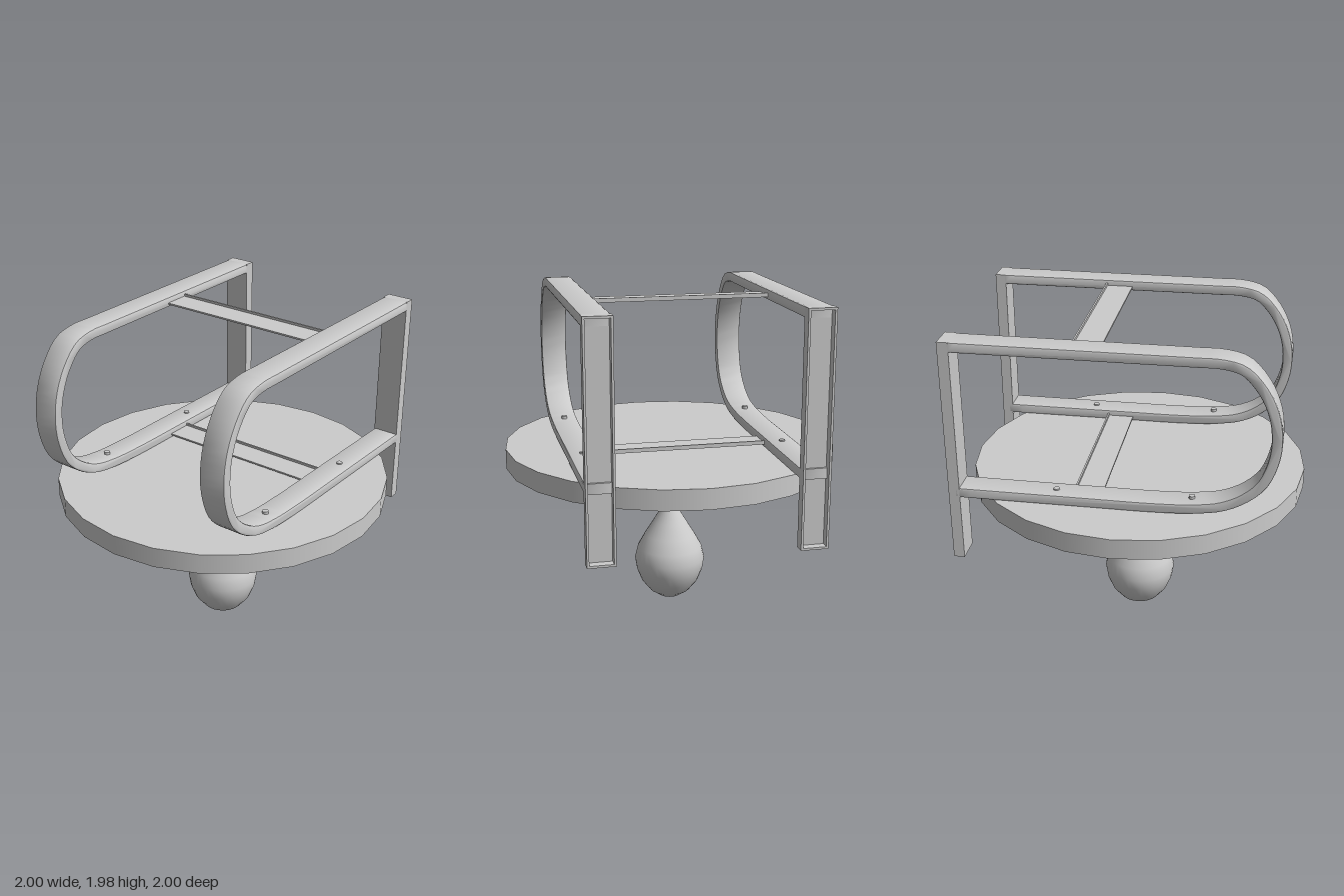
import * as THREE from 'three';
import { toCreasedNormals, mergeVertices } from 'three/addons/utils/BufferGeometryUtils.js';

const grey = new THREE.MeshStandardMaterial({ color: 0xcccccc });
const V2 = (p) => new THREE.Vector2(p[0], p[1]);

function add(parent, name, geometry, x = 0, y = 0, z = 0) {
  const mesh = new THREE.Mesh(geometry, grey);
  mesh.name = name;
  mesh.position.set(x, y, z);
  parent.add(mesh);
  return mesh;
}

const RAIL_X = 0.595, RAIL_W = 0.16, RAIL_T = 0.06;

// Bent rail: a band of even thickness following the outer (z, y) line, extruded along x
function railGeometry() {
  const outer = [
    [-0.95, 1.98], [0, 1.98], [0.4, 1.98], [0.55, 1.978], [0.674, 1.944], [0.78, 1.835],
    [0.848, 1.7], [0.876, 1.56], [0.868, 1.41], [0.807, 1.245], [0.7, 1.14],
    [0.567, 1.075], [0.406, 1.047], [0.19, 1.036], [-0.2, 1.035], [-0.965, 1.035],
  ];
  const curve = new THREE.CatmullRomCurve3(outer.map(([z, y]) => new THREE.Vector3(z, y, 0)), false, 'centripetal');
  const n = 90, out = [], inn = [];
  for (let i = 0; i <= n; i++) {
    const p = curve.getPointAt(i / n), t = curve.getTangentAt(i / n);
    out.push(new THREE.Vector2(p.x, p.y));
    inn.push(new THREE.Vector2(p.x + t.y * RAIL_T, p.y - t.x * RAIL_T));
  }
  const bevel = 0.01;
  const geo = new THREE.ExtrudeGeometry(new THREE.Shape([...out, ...inn.reverse()]), {
    depth: RAIL_W - 2 * bevel, bevelThickness: bevel, bevelSize: bevel, bevelOffset: -bevel, bevelSegments: 2,
  });
  geo.translate(0, 0, -RAIL_W / 2 + bevel);
  geo.rotateY(-Math.PI / 2);
  return toCreasedNormals(geo, 0.6);
}

// Wall post: shallow tray, open to the back
function addPost(parent) {
  const post = new THREE.Group();
  post.name = 'wallPost';
  const y0 = 0.637, y1 = 1.98, w = RAIL_W / 2, t = 0.013;
  const rect = (Type, x, a, b) => new Type([[-x, a], [x, a], [x, b], [-x, b]].map(V2));
  const rim = rect(THREE.Shape, w, y0, y1);
  rim.holes.push(rect(THREE.Path, w - t, y0 + t, y1 - t));
  add(post, 'postRim', new THREE.ExtrudeGeometry(rim, { depth: 0.05, bevelEnabled: false }), 0, 0, -1);
  add(post, 'postWeb', new THREE.BoxGeometry(RAIL_W, y1 - y0, 0.014), 0, (y0 + y1) / 2, -0.943);
  parent.add(post);
}

// Swivel housing: turned cup whose upper rim is drawn out into four mounting ears
function swivelGeometry() {
  const profile = [[0, 0.79], [0.06, 0.79], [0.075, 0.8], [0.09, 0.835], [0.102, 0.87],
    [0.108, 0.888], [0.112, 0.9], [0.112, 0.915], [0, 0.915]];
  const ears = [0, 0, 0, 0, 0.012, 0.05, 0.08, 0.08, 0];
  const geo = new THREE.LatheGeometry(profile.map(V2), 64);
  const pos = geo.attributes.position;
  for (let i = 0; i < pos.count; i++) {
    const a = Math.atan2(pos.getZ(i), pos.getX(i));
    const r = Math.hypot(pos.getX(i), pos.getZ(i));
    const grown = r + ears[i % profile.length] * Math.sin(2 * a) ** 6;
    pos.setX(i, Math.cos(a) * grown);
    pos.setZ(i, Math.sin(a) * grown);
  }
  geo.deleteAttribute('uv');
  geo.deleteAttribute('normal');
  return toCreasedNormals(mergeVertices(geo), 0.7);
}

export function createModel() {
  const model = new THREE.Group();
  model.name = 'speedBagPlatform';

  // Round board
  add(model, 'platform', new THREE.CylinderGeometry(1, 1, 0.12, 24), 0, 0.975, 0);

  // Mirrored side frames with their bolts
  const rail = railGeometry();
  for (const side of [1, -1]) {
    const frame = new THREE.Group();
    frame.name = side > 0 ? 'leftFrame' : 'rightFrame';
    frame.position.x = side * RAIL_X;
    add(frame, 'rail', rail);
    addPost(frame);
    for (const [z, top] of [[0.39, 1.122], [-0.385, 1.103]]) {
      add(frame, 'boltHead', new THREE.CylinderGeometry(0.018, 0.018, 0.02, 12), 0, top - 0.01, z);
      add(frame, 'boltShank', new THREE.CylinderGeometry(0.01, 0.01, top - 0.92, 10), 0, (top + 0.92) / 2 - 0.005, z);
      add(frame, 'boltNut', new THREE.CylinderGeometry(0.018, 0.018, 0.02, 12), 0, 0.912, z);
    }
    model.add(frame);
  }

  // Cross bars: flat strip with an upright lip along the back edge
  const span = 2 * (RAIL_X - RAIL_W / 2) + 0.02;
  for (const [name, y] of [['upperCrossBar', 1.937], ['lowerCrossBar', 1.052]]) {
    const bar = new THREE.Group();
    bar.name = name;
    add(bar, 'strip', new THREE.BoxGeometry(span, 0.01, 0.165), 0, y + 0.005, -0.2125);
    add(bar, 'lip', new THREE.BoxGeometry(span, 0.024, 0.01), 0, y + 0.012, -0.29);
    model.add(bar);
  }

  // Swivel, hook and link
  const swivel = new THREE.Group();
  swivel.name = 'swivel';
  add(swivel, 'housing', swivelGeometry());
  add(swivel, 'shaft', new THREE.CylinderGeometry(0.009, 0.009, 0.04, 12), 0.008, 0.777, 0);
  const hook = add(swivel, 'hook', new THREE.TorusGeometry(0.02, 0.006, 8, 20), 0, 0.745, 0);
  hook.rotation.y = Math.PI / 4;
  const link = add(swivel, 'link', new THREE.TorusGeometry(0.02, 0.006, 8, 20), 0, 0.708, 0);
  link.rotation.y = -Math.PI / 4;
  link.scale.y = 1.3;
  model.add(swivel);

  // Teardrop bag
  const bag = [[0, 0.005], [0.065, 0.02], [0.125, 0.06], [0.177, 0.125], [0.207, 0.2], [0.218, 0.27],
    [0.2, 0.345], [0.156, 0.425], [0.103, 0.51], [0.05, 0.6], [0.028, 0.65], [0.018, 0.688], [0, 0.692]];
  add(model, 'bag', new THREE.LatheGeometry(bag.map(V2), 32));

  return model;
}
